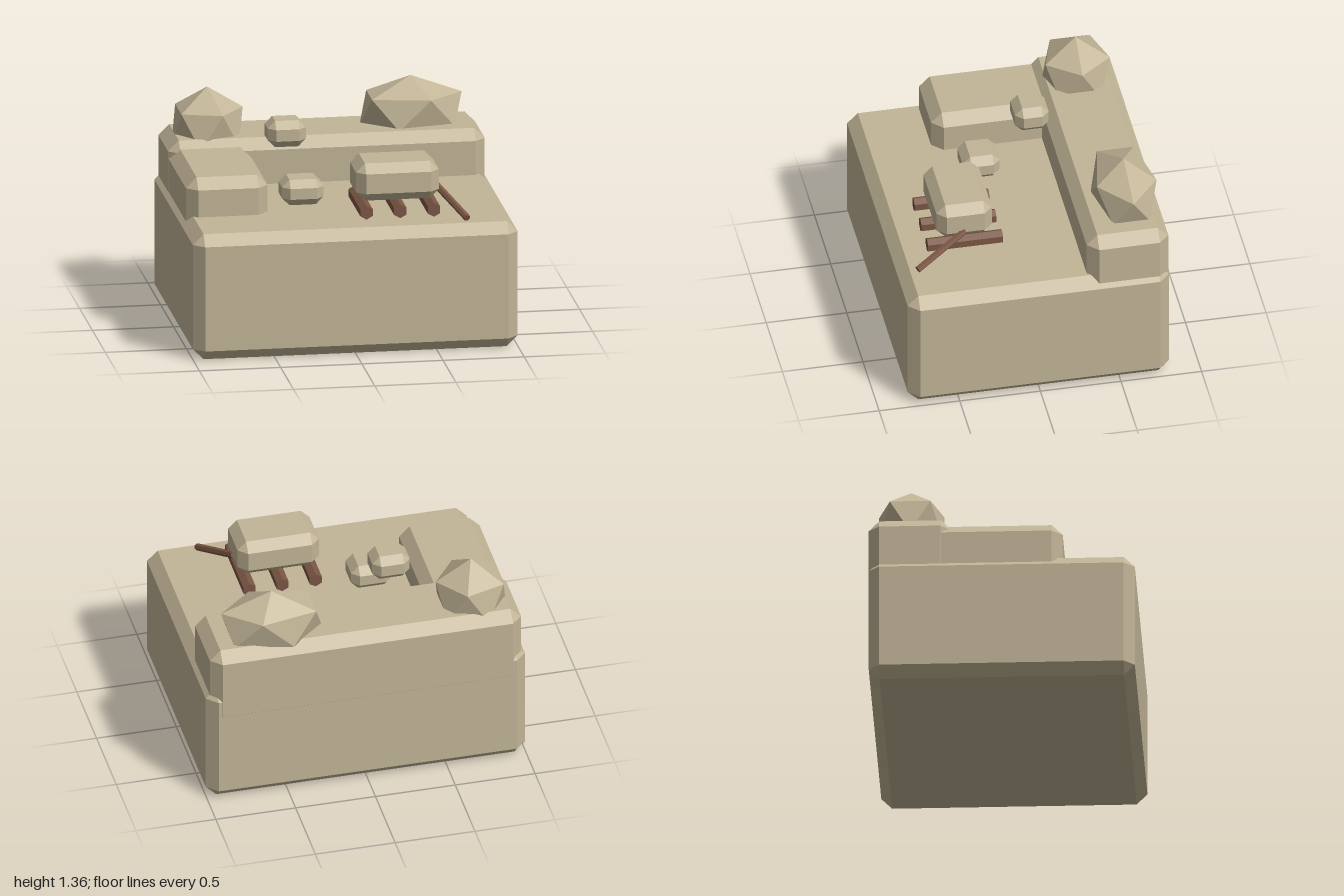
import * as THREE from 'three';
import { ConvexGeometry } from 'three/addons/geometries/ConvexGeometry.js';

const stone = new THREE.MeshStandardMaterial({ name: 'sandstone', color: 0xc2b597, flatShading: true });
const wood = new THREE.MeshStandardMaterial({ name: 'brown wood', color: 0x7b5644, flatShading: true });

// Box between two corners with every edge bevelled by c
function chamferBox([x0, y0, z0], [x1, y1, z1], c) {
  const mid = [(x0 + x1) / 2, (y0 + y1) / 2, (z0 + z1) / 2];
  const half = [(x1 - x0) / 2, (y1 - y0) / 2, (z1 - z0) / 2];
  const points = [];
  for (const sx of [-1, 1]) for (const sy of [-1, 1]) for (const sz of [-1, 1]) {
    for (let axis = 0; axis < 3; axis++) {
      const p = [sx, sy, sz].map((s, i) => mid[i] + s * (half[i] - (i === axis ? 0 : c)));
      points.push(new THREE.Vector3(...p));
    }
  }
  return new ConvexGeometry(points);
}

// Stretched icosahedron standing on one vertex
function boulder([cx, cy, cz], [rx, ry, rz]) {
  const points = [new THREE.Vector3(cx, cy + ry, cz), new THREE.Vector3(cx, cy - ry, cz)];
  for (let i = 0; i < 10; i++) {
    const a = i * Math.PI / 5;
    const h = i % 2 ? -0.447 : 0.447;
    points.push(new THREE.Vector3(
      cx + 0.894 * rx * Math.cos(a), cy + h * ry, cz + 0.894 * rz * Math.sin(a)));
  }
  return new ConvexGeometry(points);
}

export function createModel() {
  const model = new THREE.Group();
  model.name = 'quarry';
  const add = (name, geometry, material) => {
    const mesh = new THREE.Mesh(geometry, material);
    mesh.name = name;
    model.add(mesh);
    return mesh;
  };

  // Ground and the two terraces
  add('base', chamferBox([-1, 0, -0.81], [1, 0.79, 0.81], 0.066), stone);
  add('backTerrace', chamferBox([-0.975, 0.55, -0.812], [0.975, 1.07, -0.305], 0.066), stone);
  add('leftTerrace', chamferBox([-0.973, 0.55, -0.45], [-0.47, 1.025, 0.37], 0.066), stone);

  // Rough boulders on the back terrace
  add('leftBoulder', boulder([-0.705, 1.105, -0.56], [0.245, 0.245, 0.235]), stone);
  add('rightBoulder', boulder([0.555, 1.145, -0.605], [0.352, 0.21, 0.218]), stone);

  // Cut blocks
  add('upperSmallBlock', chamferBox([-0.4, 1.07, -0.295], [-0.165, 1.235, -0.085], 0.046), stone);
  add('lowerSmallBlock', chamferBox([-0.365, 0.795, 0.02], [-0.11, 0.955, 0.25], 0.046), stone);
  add('largeBlock', chamferBox([0.045, 0.885, 0.2], [0.555, 1.12, 0.545], 0.055), stone);

  // Rollers under the large block
  const roller = new THREE.CylinderGeometry(0.044, 0.044, 0.465, 6).rotateX(Math.PI / 2);
  for (const x of [0.092, 0.3, 0.507]) {
    add('roller', roller, wood).position.set(x, 0.841, 0.372);
  }

  // Lever leaning on the block
  const top = new THREE.Vector3(0.548, 0.945, 0.378);
  const foot = new THREE.Vector3(0.697, 0.808, 0.7);
  const lever = add('lever', new THREE.CylinderGeometry(0.022, 0.022, top.distanceTo(foot), 6), wood);
  lever.position.copy(top).add(foot).multiplyScalar(0.5);
  lever.quaternion.setFromUnitVectors(new THREE.Vector3(0, 1, 0), top.clone().sub(foot).normalize());

  return model;
}
